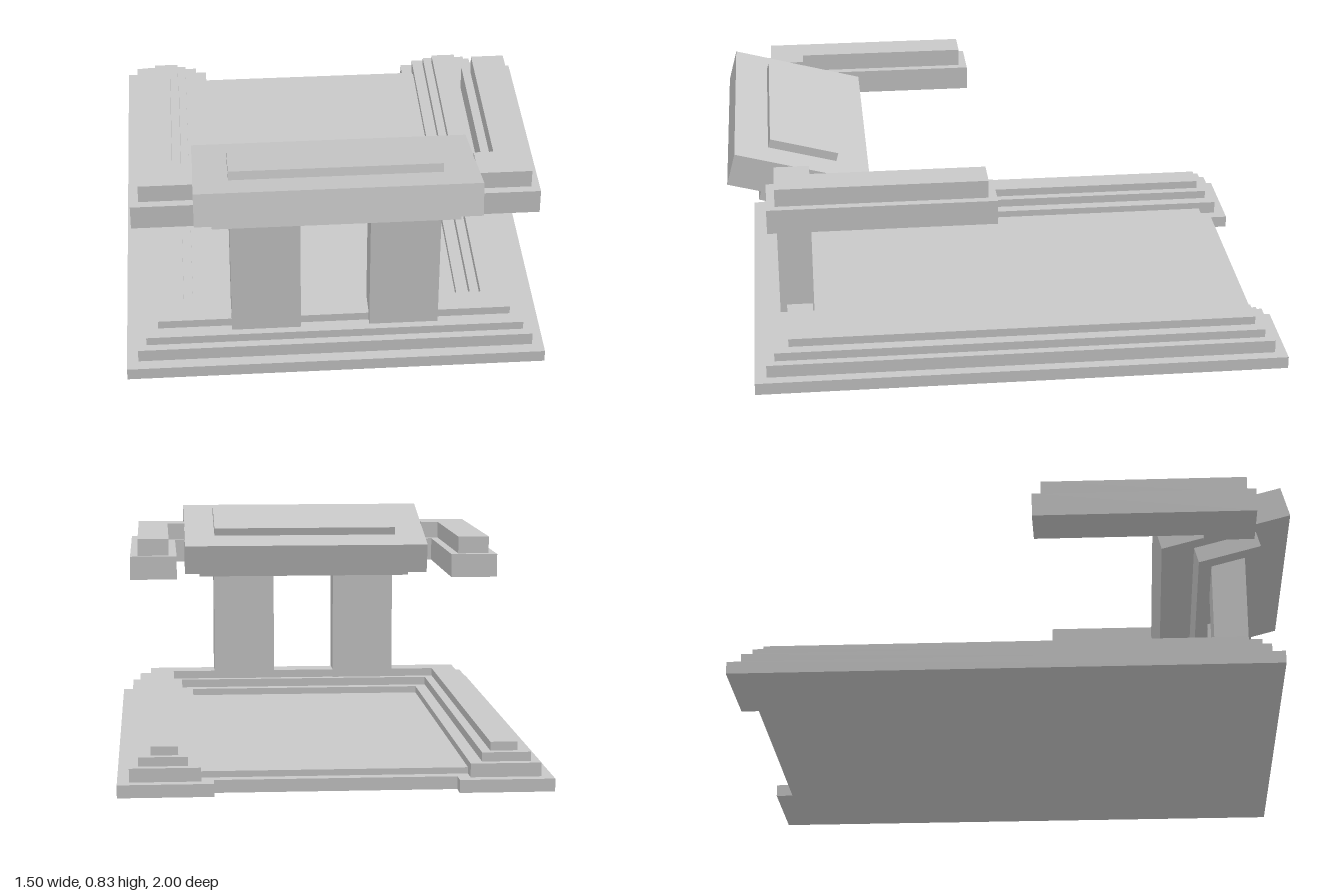
import * as THREE from 'three';

const stone = new THREE.MeshStandardMaterial({ color: 0xc8c8c8 });
stone.name = 'stone grey';

// Horizontal slab from a plan outline of [x, z] points, between two heights
function slab(name, points, y0, y1) {
  const shape = new THREE.Shape(points.map(([x, z]) => new THREE.Vector2(x, z)));
  const geo = new THREE.ExtrudeGeometry(shape, { depth: y1 - y0, bevelEnabled: false });
  geo.rotateX(Math.PI / 2).translate(0, y1, 0);
  const mesh = new THREE.Mesh(geo, stone);
  mesh.name = name;
  return mesh;
}

function box(name, w, h, d, x, y, z) {
  const mesh = new THREE.Mesh(new THREE.BoxGeometry(w, h, d), stone);
  mesh.name = name;
  mesh.position.set(x, y, z);
  return mesh;
}

// U-shaped plan, open towards the back
const uPlan = (outer, inner, back, front, innerFront) => [
  [-outer, back], [-inner, back], [-inner, innerFront], [inner, innerFront],
  [inner, back], [outer, back], [outer, front], [-outer, front],
];

export function createModel() {
  const model = new THREE.Group();
  model.name = 'steppedMonument';

  // Base plate, notched at the back, with a thin raised floor
  model.add(slab('basePlate', uPlan(0.75, 0.42, -1, 0.935, -0.937), 0, 0.045));
  model.add(box('floor', 0.926, 0.022, 1.533, 0, 0.056, -0.1265));

  // Stepped rim: outer x, inner x, back z, front z, inner front z, bottom, top
  [
    [0.709, 0.463, -0.958, 0.892, 0.64, 0.045, 0.093],
    [0.678, 0.507, -0.925, 0.862, 0.683, 0.093, 0.125],
    [0.635, 0.54, -0.895, 0.81, 0.715, 0.125, 0.156],
  ].forEach(([o, i, b, f, inF, y0, y1], n) => {
    model.add(slab(`rimStep${n + 1}`, uPlan(o, i, b, f, inF), y0, y1));
  });

  for (const [side, s] of [['left', 1], ['right', -1]]) {
    // Pillars
    model.add(box(`${side}Pillar`, 0.247, 0.49, 0.125, s * 0.2465, 0.37, 0.7725));

    // L-shaped arms in two steps, meeting the panel's ends
    const arm = (outer, inner, back, front, innerFront) => [
      [s * outer, back], [s * outer, front], [s * 0.491, front],
      [s * 0.491, innerFront], [s * inner, innerFront], [s * inner, back],
    ];
    model.add(slab(`${side}ArmLower`, arm(0.708, 0.53, 0.06, 0.865, 0.68), 0.618, 0.707));
    model.add(slab(`${side}ArmUpper`, arm(0.679, 0.56, 0.09, 0.835, 0.71), 0.707, 0.772));
  }

  // Tilted panel with a raised inset above and a smaller slab below
  const panel = new THREE.Group();
  panel.name = 'tiltedPanel';
  panel.position.set(0, 0.706, 0.7475);
  panel.rotation.x = -Math.PI / 12;
  panel.add(box('panelSlab', 0.984, 0.119, 0.491, 0, 0, 0));
  panel.add(box('panelInset', 0.74, 0.035, 0.25, 0, 0.0735, -0.001));
  panel.add(box('panelSupport', 0.862, 0.065, 0.238, 0, -0.0885, -0.002));
  model.add(panel);

  return model;
}
